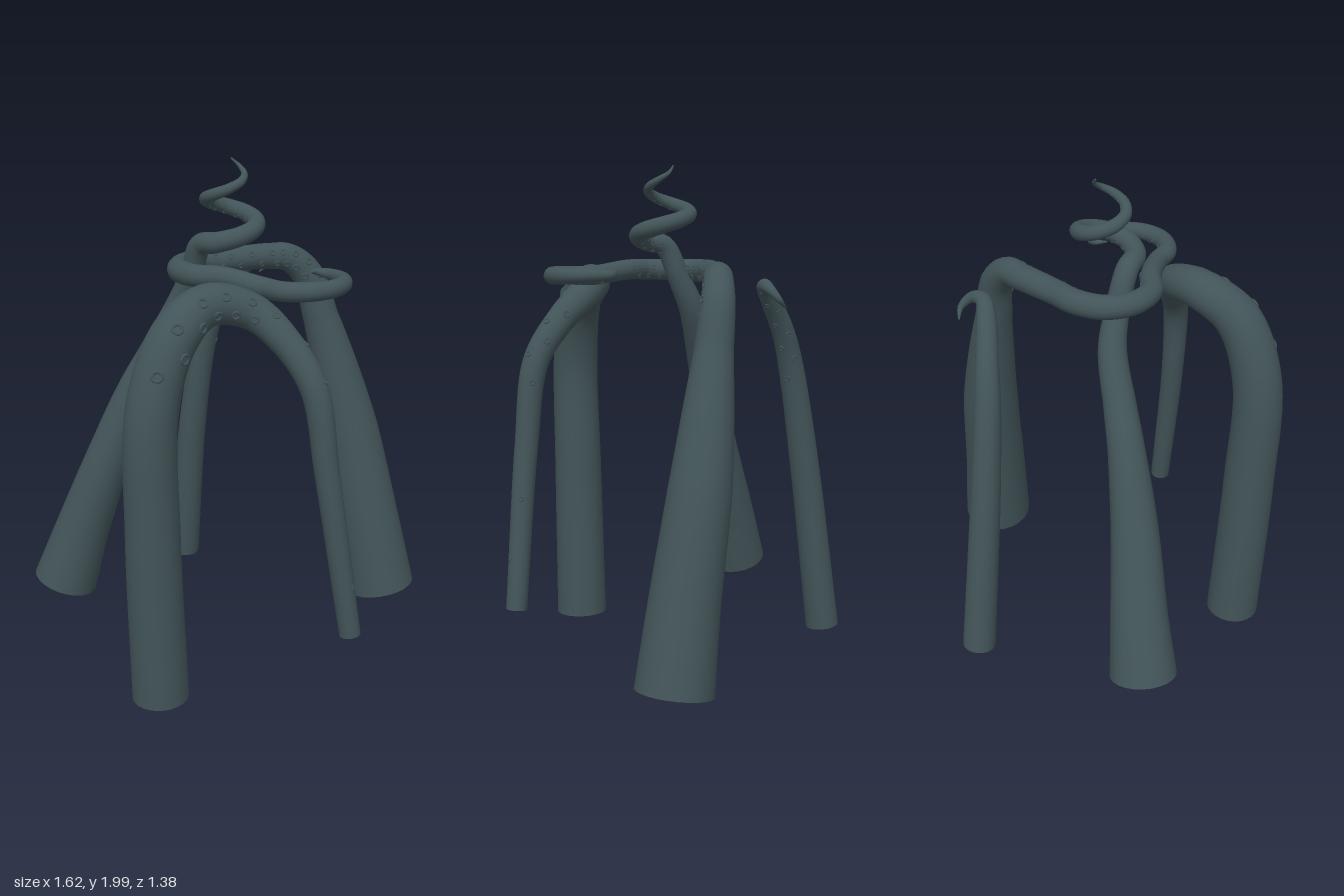
import * as THREE from 'three';

const SIDES = 24;
const vec = (x, y, z) => new THREE.Vector3(x, y, z);
const skin = new THREE.MeshStandardMaterial({ color: 0x425458 });
skin.name = 'slateSkin';

// Smooth path through points, with radius stops spread evenly along them
function makePath(points, radii) {
  const radiusAt = t => {
    const s = t * (radii.length - 1), i = Math.min(Math.floor(s), radii.length - 2);
    return THREE.MathUtils.lerp(radii[i], radii[i + 1], s - i);
  };
  return { curve: new THREE.CatmullRomCurve3(points), radiusAt, last: points.length - 1 };
}

// Points on a level arc around (cx, cz)
function arc(cx, cz, r, from, to, count, y0, y1) {
  return Array.from({ length: count }, (_, i) => {
    const u = i / (count - 1), a = from + (to - from) * u;
    return vec(cx + Math.cos(a) * r, y0 + (y1 - y0) * u, cz + Math.sin(a) * r);
  });
}

// Rising, shrinking corkscrew
function corkscrew(count) {
  return Array.from({ length: count }, (_, i) => {
    const u = i / (count - 1), a = u * Math.PI * 3.3;
    const r = 0.12 - 0.055 * u - 0.03 * u ** 5;
    return vec(-0.08 - Math.cos(a) * r, 1.68 + 0.3 * u + 0.02 * u ** 6, 0.03 + Math.sin(a) * r);
  });
}

// Tapering round limb with flat caps at both ends
function limbGeometry({ curve, radiusAt, last }) {
  const steps = last * 12, pos = [], index = [], frames = [];
  const ring = ({ t, center, normal, side }) => {
    for (let j = 0; j < SIDES; j++) {
      const a = j / SIDES * Math.PI * 2, r = radiusAt(t);
      const v = center.clone().addScaledVector(normal, Math.cos(a) * r).addScaledVector(side, Math.sin(a) * r);
      pos.push(v.x, v.y, v.z);
    }
  };
  const cap = (frame, atStart) => {
    const start = pos.length / 3;
    ring(frame);
    pos.push(frame.center.x, frame.center.y, frame.center.z);
    for (let j = 0; j < SIDES; j++) {
      const a = start + j, b = start + (j + 1) % SIDES;
      if (atStart) index.push(start + SIDES, b, a);
      else index.push(start + SIDES, a, b);
    }
  };
  let normal = vec(0.3, 0.1, 1);
  for (let i = 0; i <= steps; i++) {
    const t = i / steps, tangent = curve.getTangent(t);
    normal = normal.clone().addScaledVector(tangent, -normal.dot(tangent)).normalize();
    frames.push({ t, center: curve.getPoint(t), normal, side: tangent.clone().cross(normal) });
    ring(frames[i]);
  }
  for (let i = 0; i < steps; i++) {
    for (let j = 0; j < SIDES; j++) {
      const a = i * SIDES + j, b = i * SIDES + (j + 1) % SIDES;
      index.push(a, b, b + SIDES, a, b + SIDES, a + SIDES);
    }
  }
  cap(frames[0], true);
  cap(frames[steps], false);
  const geometry = new THREE.BufferGeometry();
  geometry.setAttribute('position', new THREE.Float32BufferAttribute(pos, 3));
  geometry.setIndex(index);
  geometry.computeVertexNormals();
  return geometry;
}

function makeTentacle(name, points, radii) {
  const group = new THREE.Group();
  group.name = name;
  const path = makePath(points, radii);
  const limb = new THREE.Mesh(limbGeometry(path), skin);
  limb.name = name + 'Limb';
  group.add(limb);
  return { group, path };
}

// Two staggered rows of sucker rings between two path point numbers
const suckerRing = new THREE.TorusGeometry(0.75, 0.28, 8, 18);
function addSuckers({ group, path }, from, to, count, facing) {
  for (let i = 0; i < count; i++) {
    const t = (from + (to - from) * i / (count - 1)) / path.last;
    const center = path.curve.getPoint(t), tangent = path.curve.getTangent(t), r = path.radiusAt(t);
    const out = facing(center);
    out.addScaledVector(tangent, -out.dot(tangent)).normalize().applyAxisAngle(tangent, i % 2 ? 0.45 : -0.45);
    const sucker = new THREE.Mesh(suckerRing, skin);
    sucker.name = 'sucker';
    sucker.position.copy(center).addScaledVector(out, r * 0.98);
    sucker.quaternion.setFromUnitVectors(vec(0, 0, 1), out);
    sucker.scale.setScalar(r * 0.25);
    group.add(sucker);
  }
}

// Sucker directions: fixed, or towards a vertical axis and tilted down
const toward = (x, y, z) => () => vec(x, y, z);
const inward = (x, z, down) => p => vec(x - p.x, 0, z - p.z).normalize().add(vec(0, -down, 0));

export function createModel() {
  const model = new THREE.Group();
  model.name = 'tentacles';

  // Tentacle that arches over at the front
  const arched = makeTentacle('archedTentacle', [
    vec(-0.54, 0.015, 0.395), vec(-0.56, 0.7, 0.405), vec(-0.55, 1.2, 0.41), vec(-0.45, 1.44, 0.385),
    vec(-0.3, 1.525, 0.335), vec(-0.14, 1.49, 0.36), vec(-0.045, 1.385, 0.46), vec(0.02, 1.23, 0.555),
    vec(0.06, 0.9, 0.597), vec(0.15, 0.245, 0.643),
  ], [0.11, 0.09, 0.058, 0.042]);
  addSuckers(arched, 2.4, 5.5, 11, toward(0, 0.1, 1));
  addSuckers(arched, 5.9, 7.3, 5, toward(1, 0.2, 0.3));
  addSuckers(arched, 8.35, 8.7, 2, toward(1, 0, 0.6));

  // Tentacle that reaches across, wraps the middle and ends in a hook
  const hooked = makeTentacle('hookedTentacle', [
    vec(0.65, 0.08, 0.04), vec(0.6, 0.4, 0), vec(0.535, 0.8, -0.06), vec(0.47, 1.08, -0.095),
    vec(0.41, 1.3, -0.12), vec(0.355, 1.48, -0.14), vec(0.27, 1.56, -0.15), vec(0.18, 1.572, -0.158),
    vec(0, 1.575, -0.15),
    ...arc(-0.1, 0.025, 0.175, -1.67, -4.26, 5, 1.578, 1.585),
    ...arc(0.085, 0.325, 0.157, 3.1, -0.45, 7, 1.565, 1.578),
    vec(0.185, 1.585, 0.243), vec(0.15, 1.59, 0.27),
  ], [0.15, 0.12, 0.075, 0.057, 0.049, 0.047, 0.043, 0.039, 0.036, 0.032, 0.02, 0.003]);
  addSuckers(hooked, 4.7, 8.6, 16, toward(0, 0, 1));
  addSuckers(hooked, 9.2, 13, 14, inward(-0.1, 0.025, 0.2));
  addSuckers(hooked, 13.8, 20, 18, inward(0.085, 0.325, 0.6));

  // Tentacle that climbs through the middle into a corkscrew
  const spiral = makeTentacle('spiralTentacle', [
    vec(-0.69, 0.215, -0.33), vec(-0.62, 0.45, -0.29), vec(-0.515, 0.78, -0.22), vec(-0.415, 1.06, -0.17),
    vec(-0.34, 1.22, -0.135), vec(-0.25, 1.41, -0.09), vec(-0.215, 1.55, -0.03), ...corkscrew(15),
  ], [0.133, 0.072, 0.046, 0.037, 0.032, 0.026, 0.017, 0.003]);
  addSuckers(spiral, 7, 18, 34, inward(-0.08, 0.03, 0.8));

  // Short tentacle at the back with a curled tip
  const rear = makeTentacle('rearTentacle', [
    vec(-0.025, 0.1, -0.625), vec(-0.005, 0.8, -0.535), vec(0.035, 1.2, -0.468), vec(0.075, 1.34, -0.43),
    vec(0.135, 1.46, -0.375), vec(0.2, 1.53, -0.335), vec(0.255, 1.525, -0.345), vec(0.282, 1.485, -0.38),
    vec(0.26, 1.45, -0.41),
  ], [0.068, 0.051, 0.04, 0.022, 0.003]);
  addSuckers(rear, 1.9, 5, 9, toward(1, -0.4, 0.1));

  model.add(arched.group, hooked.group, spiral.group, rear.group);
  return model;
}
